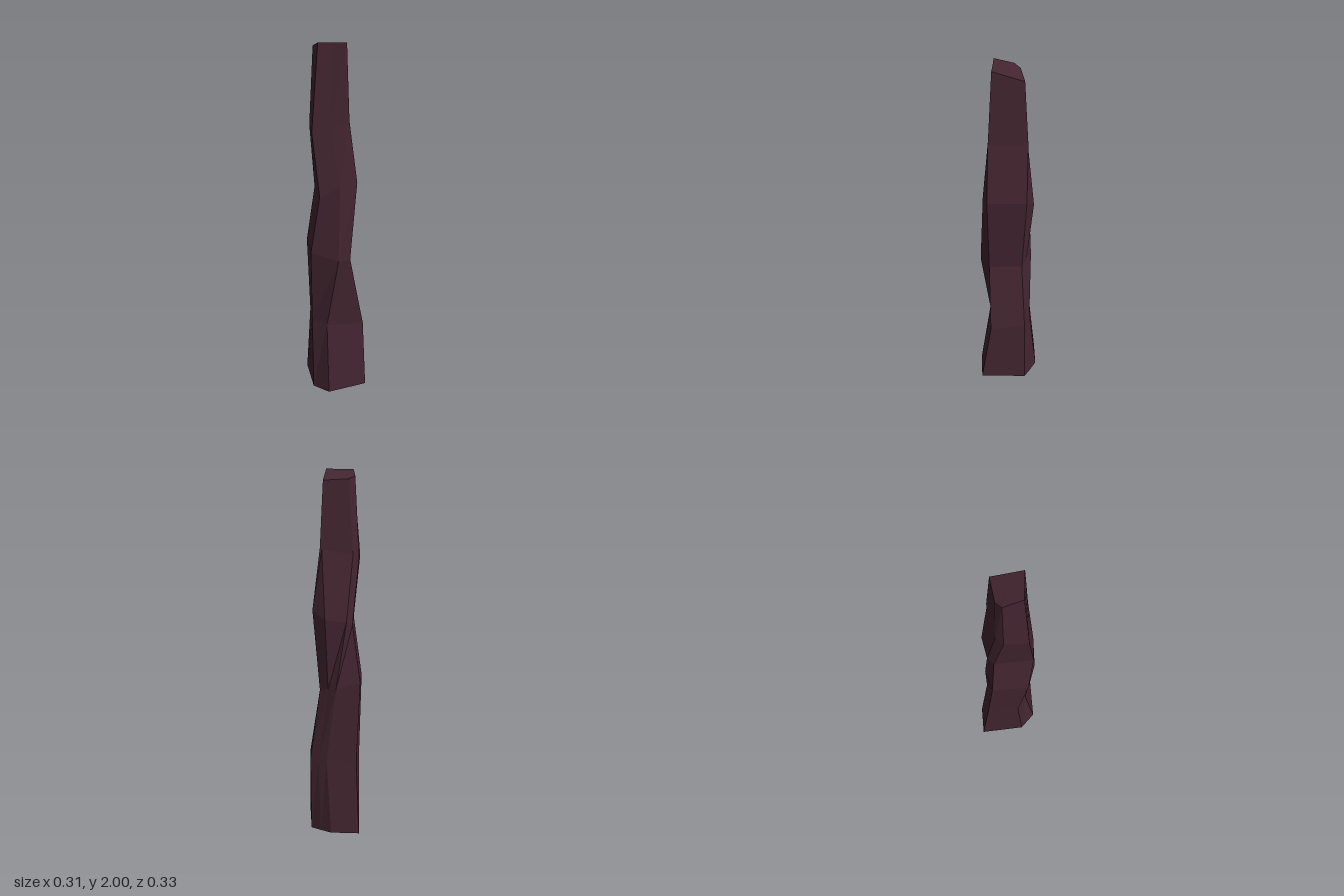
import * as THREE from 'three';

// Cross-sections from bottom to top. Corners run counterclockwise from above:
// front, front right, back right, back, back left, left, front left.
const rings = [
  [[-0.055, 0, 0.163], [0.155, 0.04, 0.155], [0.117, 0, -0.1], [0.06, 0, -0.134], [0, 0, -0.167], [-0.156, 0, -0.163], [-0.137, 0, 0.085]],
  [[-0.06, 0.4, 0.105], [0.145, 0.4, 0.1], [0.122, 0.41, -0.095], [0.075, 0.41, -0.11], [0.028, 0.41, -0.125], [-0.137, 0.4, -0.125], [-0.14, 0.42, 0.055]],
  [[0, 0.81, 0.155], [0.07, 0.8, 0.106], [0.07, 0.8, -0.077], [0.022, 0.81, -0.104], [-0.025, 0.82, -0.13], [-0.155, 0.85, -0.095], [-0.148, 0.85, 0.11]],
  [[0.01, 1.23, 0.137], [0.105, 1.25, 0.113], [0.107, 1.25, -0.1], [0.035, 1.2, -0.14], [-0.08, 1.19, -0.115], [-0.11, 1.17, -0.08], [-0.1, 1.18, 0.135]],
  [[-0.04, 1.56, 0.105], [0.062, 1.59, 0.105], [0.065, 1.59, -0.105], [0.055, 1.58, -0.103], [-0.11, 1.55, -0.07], [-0.14, 1.54, -0.028], [-0.137, 1.53, 0.103]],
  [[-0.025, 2, 0.077], [0.05, 2, 0.083], [0.05, 1.945, -0.085], [0.03, 1.946, -0.082], [-0.085, 1.952, -0.065], [-0.118, 1.965, -0.033], [-0.1, 2, 0.072]],
];

// Average of a ring's corners, used as the hub of its cap
function centreOf(ring) {
  return [0, 1, 2].map((k) => ring.reduce((sum, p) => sum + p[k], 0) / ring.length);
}

function buildGeometry() {
  const positions = [];
  const tri = (a, b, c) => positions.push(...a, ...b, ...c);
  const n = rings[0].length;
  const bottom = rings[0];
  const top = rings[rings.length - 1];
  const bottomCentre = centreOf(bottom);
  const topCentre = centreOf(top);
  for (let i = 0; i < n; i++) {
    const j = (i + 1) % n;
    // Side facets
    for (let r = 0; r < rings.length - 1; r++) {
      const low = rings[r];
      const high = rings[r + 1];
      tri(low[i], low[j], high[j]);
      tri(low[i], high[j], high[i]);
    }
    // End caps
    tri(bottomCentre, bottom[j], bottom[i]);
    tri(topCentre, top[i], top[j]);
  }
  const geometry = new THREE.BufferGeometry();
  geometry.setAttribute('position', new THREE.Float32BufferAttribute(positions, 3));
  geometry.computeVertexNormals();
  return geometry;
}

export function createModel() {
  const group = new THREE.Group();
  group.name = 'crookedPost';
  const darkWood = new THREE.MeshStandardMaterial({ color: 0x432530 });
  darkWood.name = 'dark wood';
  darkWood.flatShading = true;
  const trunk = new THREE.Mesh(buildGeometry(), darkWood);
  trunk.name = 'trunk';
  group.add(trunk);
  return group;
}
